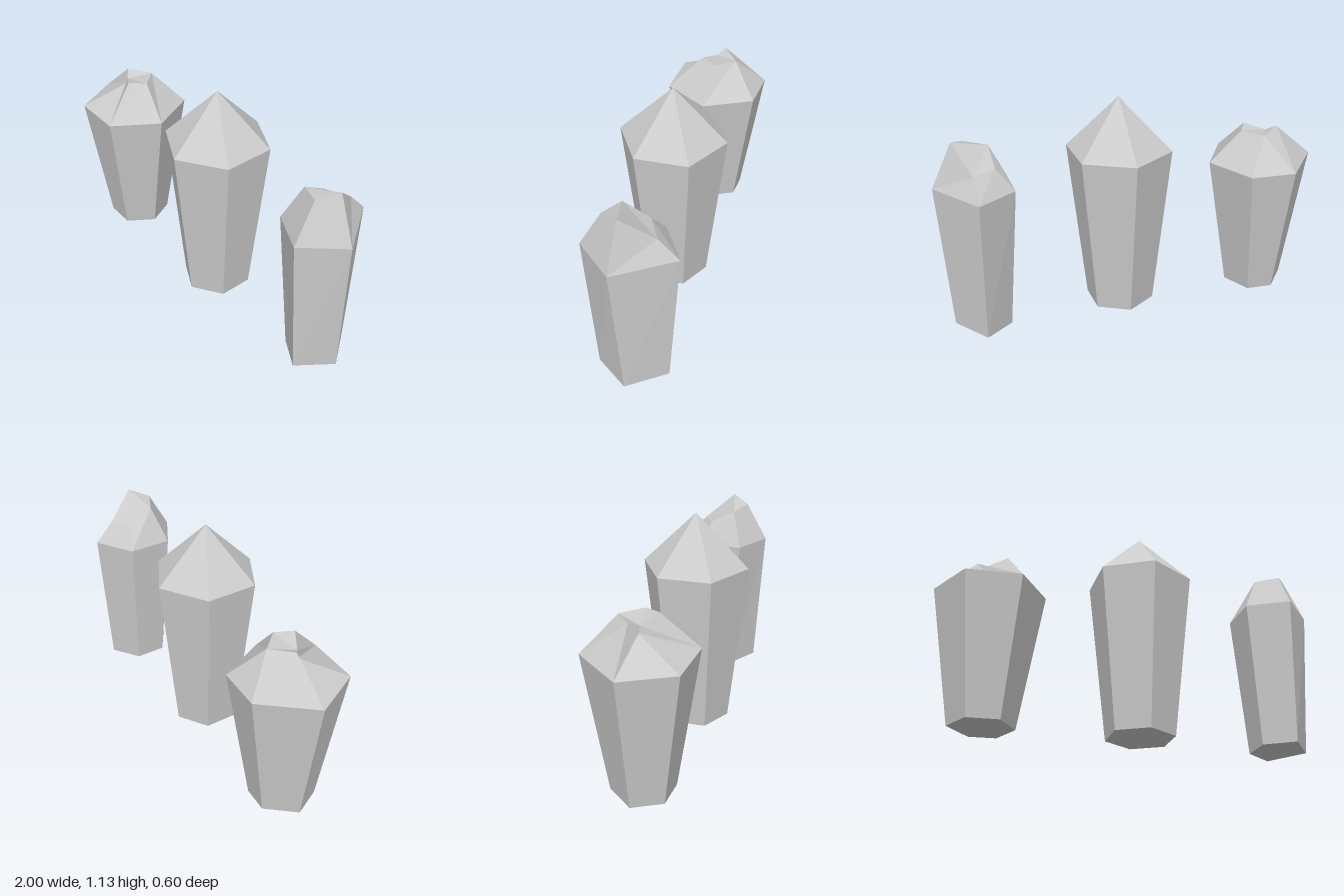
import * as THREE from 'three';

const material = new THREE.MeshStandardMaterial({ color: 0xcccccc, flatShading: true });

// Crystal from a base ring [x, z], a rim ring [x, z] at rimY, and cap points [x, y, z].
// Rings run left -> front -> right -> back. Cap faces index rim points first, then tips.
function crystal(name, base, rim, rimY, tips, capFaces) {
  const n = rim.length;
  const points = [
    ...rim.map(([x, z]) => [x, rimY, z]),
    ...tips,
    ...base.map(([x, z]) => [x, 0, z]),
  ];
  const b0 = n + tips.length;
  const faces = [...capFaces];
  for (let i = 0; i < n; i++) {
    const j = (i + 1) % n;
    faces.push([b0 + i, b0 + j, j, i]);
  }
  faces.push(base.map((_, i) => b0 + n - 1 - i));

  const positions = [];
  for (const f of faces) {
    for (let k = 1; k < f.length - 1; k++) {
      positions.push(...points[f[0]], ...points[f[k]], ...points[f[k + 1]]);
    }
  }
  const geometry = new THREE.BufferGeometry();
  geometry.setAttribute('position', new THREE.Float32BufferAttribute(positions, 3));
  geometry.computeVertexNormals();
  const mesh = new THREE.Mesh(geometry, material);
  mesh.name = name;
  return mesh;
}

const shrink = (ring, cx, cz, s) => ring.map(([x, z]) => [cx + (x - cx) * s, cz + (z - cz) * s]);

function hexagon(cx, cz, r) {
  return Array.from({ length: 6 }, (_, i) => {
    const a = (i * Math.PI) / 3;
    return [cx + r * Math.sin(a), cz + r * Math.cos(a)];
  });
}

export function createModel() {
  const group = new THREE.Group();
  group.name = 'crystals';

  // Tall pointed crystal
  group.add(crystal('pointedCrystal',
    hexagon(0.06, 0.02, 0.18), hexagon(0.06, 0.02, 0.275), 0.86,
    [[0.06, 1.135, 0.02]],
    [0, 1, 2, 3, 4, 5].map((i) => [i, (i + 1) % 6, 6])));

  // Slim five-sided crystal with a slanted cut top
  group.add(crystal('slantedCrystal',
    [[0.68, 0.105], [0.825, 0.2], [0.955, 0.035], [0.825, -0.155], [0.68, -0.06]],
    [[0.625, 0.135], [0.825, 0.25], [1, 0.067], [0.825, -0.21], [0.625, -0.095]], 0.76,
    [[0.71, 0.945, 0.08], [0.825, 0.96, 0.137], [0.895, 0.995, 0.045],
      [0.825, 0.865, -0.108], [0.71, 0.875, -0.05]],
    [...[0, 1, 2, 3, 4].map((i) => [i, (i + 1) % 5, 5 + ((i + 1) % 5), 5 + i]),
      [5, 6, 7, 8, 9]]));

  // Wide crystal with a chipped top
  const rim = [[-1, -0.065], [-0.875, 0.19], [-0.595, 0.215],
    [-0.435, -0.015], [-0.555, -0.275], [-0.79, -0.3]];
  group.add(crystal('chippedCrystal', shrink(rim, -0.715, -0.04, 0.58), rim, 0.72,
    [[-0.79, 0.9, -0.065], [-0.757, 0.837, -0.03], [-0.745, 0.87, -0.025],
      [-0.65, 0.9, 0.035], [-0.595, 0.89, -0.045], [-0.68, 0.887, -0.145]],
    [[0, 1, 7], [1, 2, 7], [2, 9, 8, 7], [2, 3, 10, 9], [3, 4, 11, 10],
      [4, 5, 11], [5, 0, 6, 11], [0, 7, 6], [7, 8, 6], [8, 9, 10, 11, 6]]));

  return group;
}
